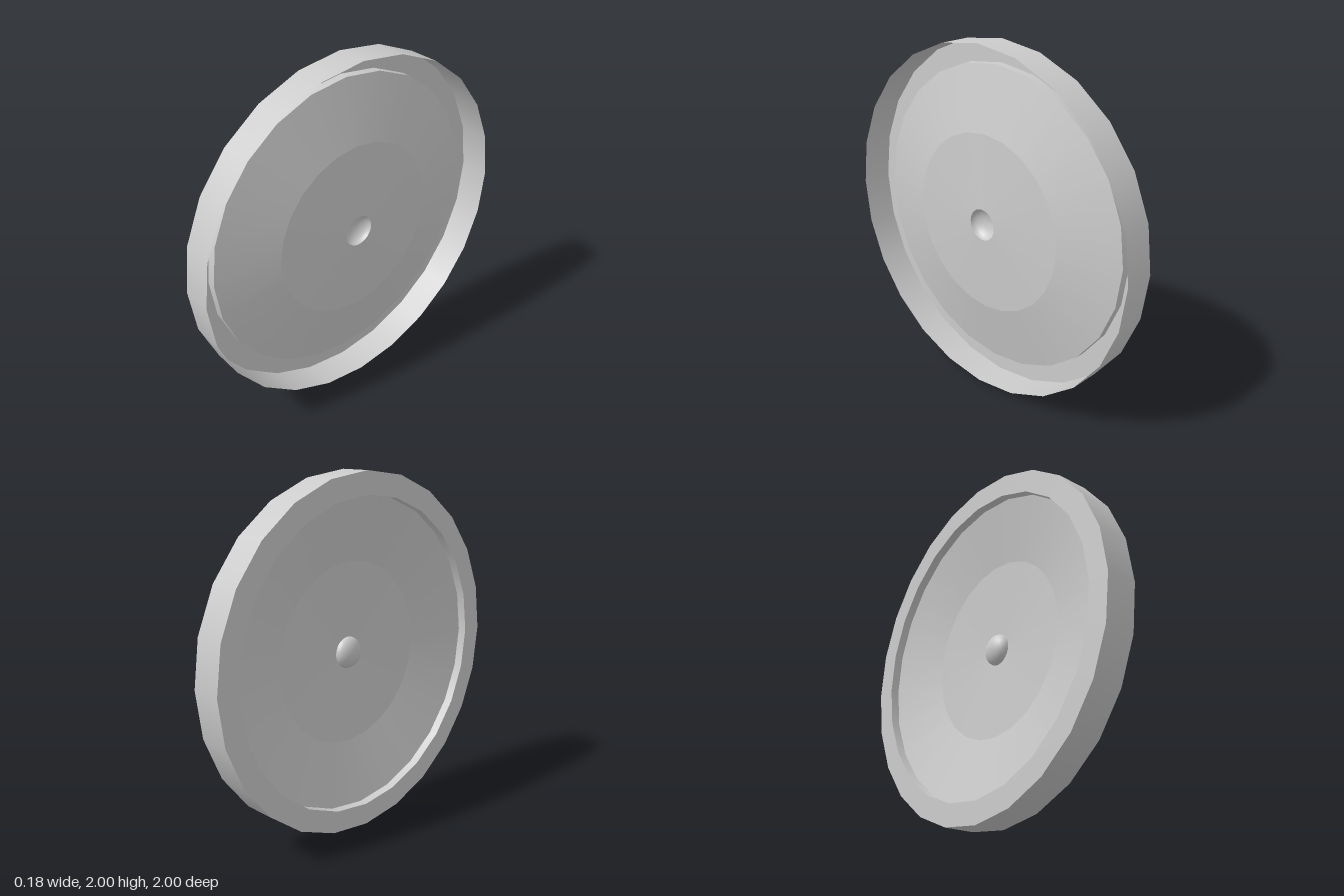
import * as THREE from 'three';

const SIDES = 24;
const material = new THREE.MeshStandardMaterial({ color: 0xcccccc, side: THREE.DoubleSide });

// One thin surface of revolution; each point is [radius, position along the axle]
function band(name, points) {
  const profile = points.map(([r, h]) => new THREE.Vector2(r, h));
  const mesh = new THREE.Mesh(new THREE.LatheGeometry(profile, SIDES), material);
  mesh.name = name;
  return mesh;
}

export function createModel() {
  const group = new THREE.Group();
  group.name = 'dishedWheel';

  // Hub dimple: shallow bowl sunk towards -x
  const dimple = [];
  for (let i = 0; i <= 6; i++) {
    const a = (i / 6) * Math.PI / 2;
    dimple.push([0.09 * Math.sin(a), 0.06 - 0.055 * Math.cos(a)]);
  }

  const wheel = new THREE.Group();
  wheel.name = 'wheel';
  wheel.add(
    // Outer rim, open on the +x side and closed by a ring on the -x side
    band('outerRim', [[1, -0.09], [1, 0.09]]),
    band('rimRing', [[0.875, -0.09], [1, -0.09]]),
    band('innerLip', [[0.875, -0.04], [0.875, -0.09]]),
    // Dished web rising towards +x
    band('dishCone', [[0.875, -0.04], [0.515, 0.04]]),
    band('centreDisc', [[0.515, 0.04], [0.09, 0.06]]),
    band('hubDimple', dimple.reverse())
  );

  // Lay the axle along x and stand the wheel on the ground
  wheel.rotation.z = -Math.PI / 2;
  wheel.position.y = 1;
  group.add(wheel);
  return group;
}
